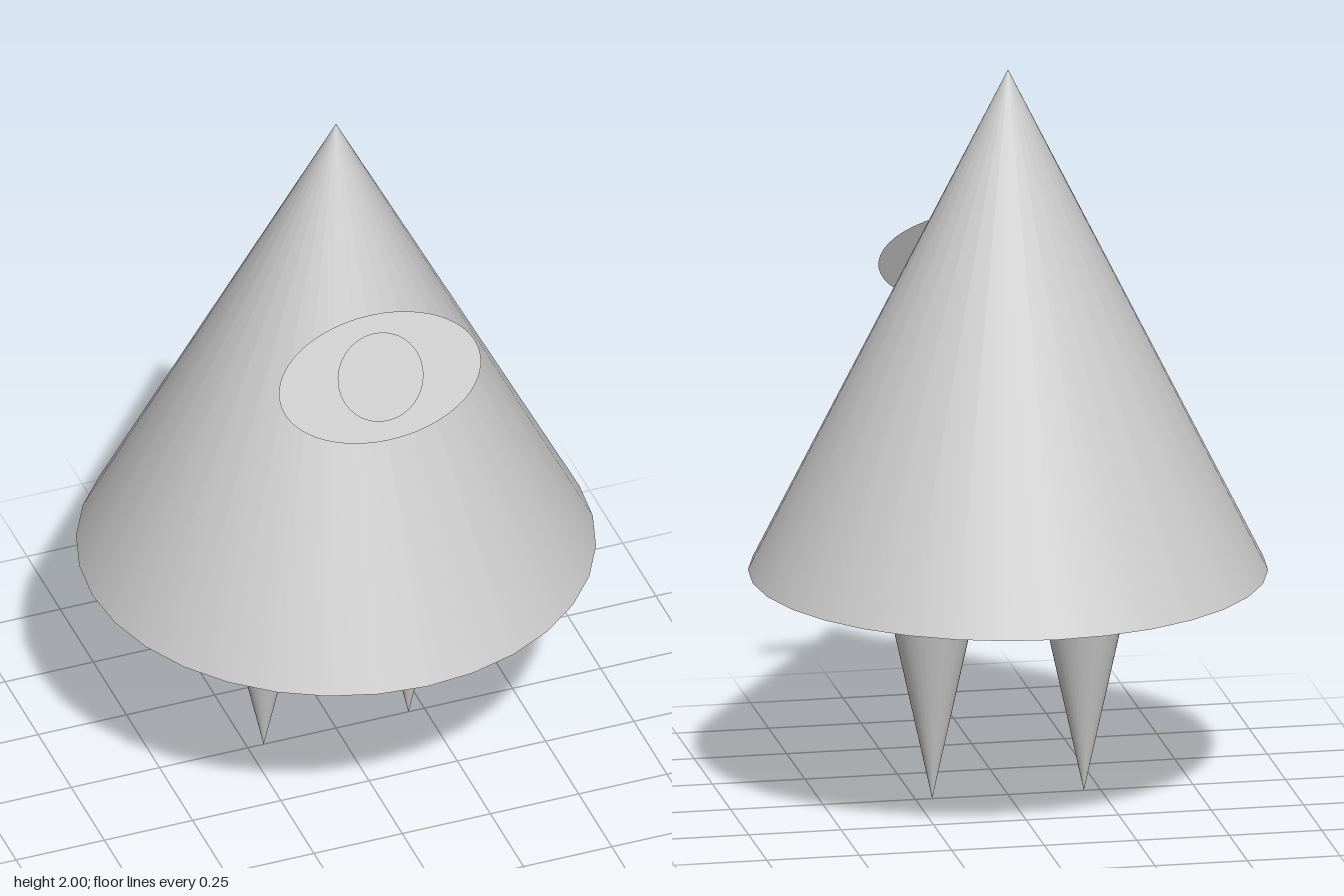
import * as THREE from 'three';

const SIDES = 32;

export function createModel() {
  const model = new THREE.Group();
  const grey = new THREE.MeshStandardMaterial({ color: 0xcccccc });
  const greyThin = new THREE.MeshStandardMaterial({ color: 0xcccccc, side: THREE.DoubleSide });

  const add = (name, geometry, material, x, y, z) => {
    const mesh = new THREE.Mesh(geometry, material);
    mesh.name = name;
    mesh.position.set(x, y, z);
    model.add(mesh);
    return mesh;
  };

  // Conical body, closed underneath
  const bodyBase = 0.62, bodyHeight = 1.38, bodyRadius = 0.69;
  add('body', new THREE.ConeGeometry(bodyRadius, bodyHeight, SIDES), grey, 0, bodyBase + bodyHeight / 2, 0);

  // Two pointed legs, their tops sunk slightly into the body
  const legHeight = 0.64;
  for (const [name, side] of [['leftLeg', 1], ['rightLeg', -1]]) {
    const leg = add(name, new THREE.ConeGeometry(0.14, legHeight, SIDES), grey, side * 0.205, legHeight / 2, 0);
    leg.rotation.x = Math.PI; // point down
  }

  // Flat eye and iris, leaning back parallel to the slope of the body
  const lean = -Math.atan2(bodyRadius, bodyHeight);
  const eye = add('eye', new THREE.CircleGeometry(0.285, 48), greyThin, 0, 1.392, 0.332);
  eye.scale.y = 0.6;
  eye.rotation.x = lean;

  const iris = add('iris', new THREE.CircleGeometry(0.12, SIDES), greyThin, 0, 1.397, 0.337);
  iris.rotation.x = lean;

  return model;
}
